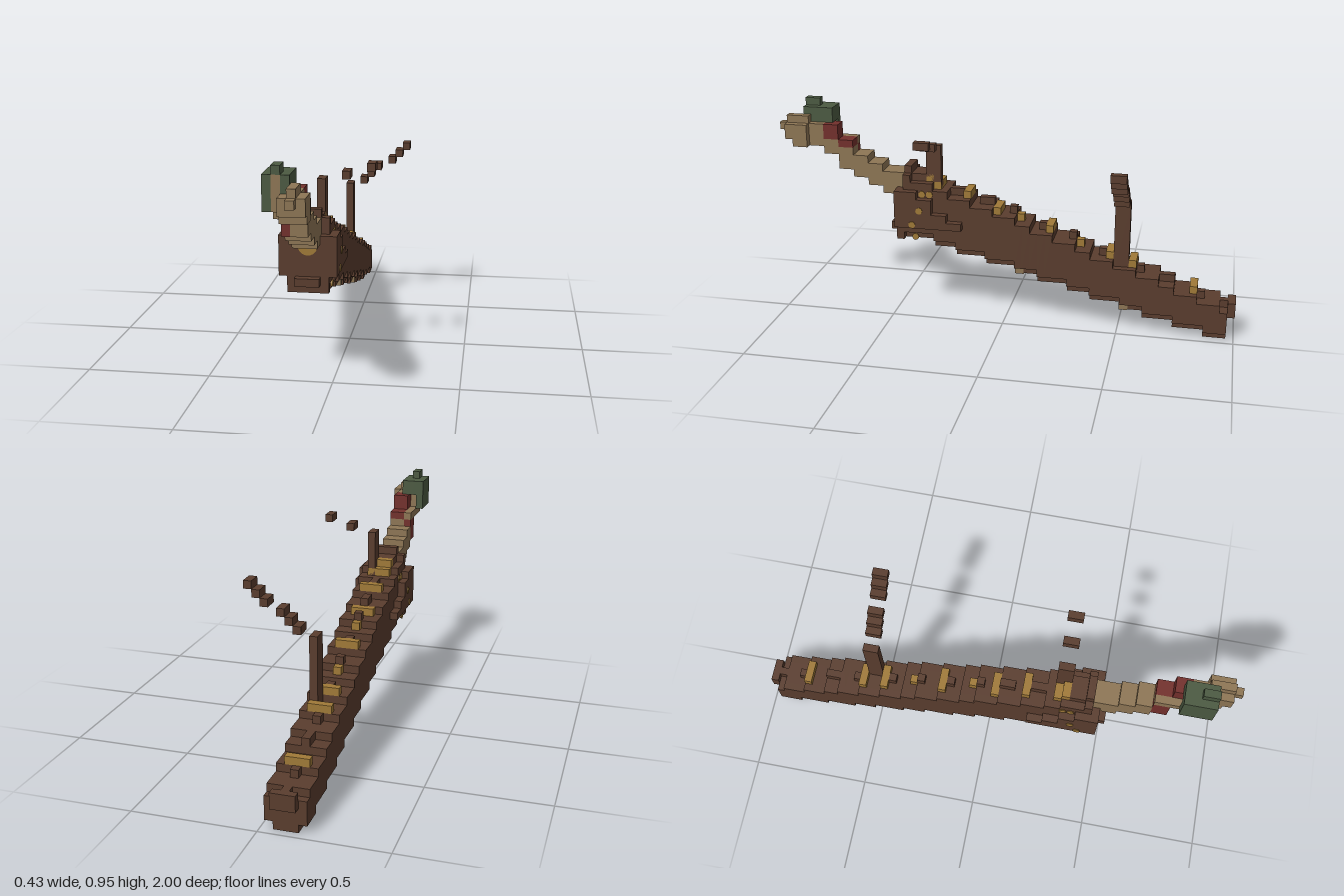
import * as THREE from 'three';
import { mergeGeometries } from 'three/addons/utils/BufferGeometryUtils.js';

const V = 2 / 61;          // edge of one block
const X0 = -6.5 * V;       // left edge of the block grid

const paint = (name, hex) => {
  const m = new THREE.MeshStandardMaterial({ color: hex });
  m.name = name;
  return m;
};

// box over inclusive block ranges; grow pushes it slightly outwards
function block([i0, i1, j0, j1, k0, k1], grow = 0) {
  const w = (i1 - i0 + 1) * V, h = (j1 - j0 + 1) * V, d = (k1 - k0 + 1) * V;
  const g = new THREE.BoxGeometry(w + grow, h + grow, d + grow);
  return g.translate(X0 + i0 * V + w / 2, j0 * V + h / 2, -1 + k0 * V + d / 2);
}

// stepped slope of the hull: top (exclusive) and bottom rows at depth k
const topRow = (k) => Math.floor(5.3 + 0.37 * k);
const bottomRow = (k) => Math.max(0, Math.floor(0.28 * k - 0.1));

export function createModel() {
  const group = new THREE.Group();
  const brown = paint('dark wood', 0x5a3d2e);
  const tan = paint('pale wood', 0x8e7655);
  const green = paint('moss green', 0x4c5a42);
  const red = paint('dark red', 0x73302c);
  const gold = paint('old gold', 0xa07a38);

  const add = (name, mat, boxes, grow = 0) => {
    const mesh = new THREE.Mesh(mergeGeometries(boxes.map((b) => block(b, grow))), mat);
    mesh.name = name;
    group.add(mesh);
  };

  // gold bands and studs along the top: depth rows
  const bands = [5, 13, 16, 24, 31, 35, 39, 40];
  const studs = [20, 28];

  // sloping body, five wide with a narrower keel, and bumps on the ridge
  const body = [[2, 4, 3, 4, 0, 0], [2, 4, 12, 12, 45, 45], [1, 5, 11, 17, 44, 44]];
  const ridge = [];
  for (let k = 1; k <= 43; k++) {
    const t = topRow(k), b = bottomRow(k);
    body.push([2, 4, b, t - 2, k, k], [1, 1, b + 1, t - 2, k, k], [5, 5, b + 1, t - 2, k, k]);
    if (bands.includes(k) || studs.includes(k)) continue;
    if (k > 40) ridge.push([2, 4, t - 1, t - 1, k, k]);
    else if (k % 4 < 2) ridge.push([3, 3, t - 1, t - 1, k, k]);
  }
  add('body', brown, body);
  add('ridge', brown, ridge);
  add('topBands', gold, bands.map((k) => [2, 4, topRow(k) - 1, topRow(k) - 1, k, k]));
  add('topStuds', gold, studs.map((k) => [3, 3, topRow(k) - 1, topRow(k) - 1, k, k]));

  // pale inlays under the body, on the front step of each row
  const inlays = [[2, 3, 3], [3, 2, 4], [5, 3, 3], [6, 3, 3], [7, 2, 4], [9, 3, 3], [10, 3, 3]];
  add('undersideInlays', tan, inlays.map(([j, a, b]) => {
    let k = 1;
    while (bottomRow(k + 1) <= j) k++;
    return [a, b, j, j, k, k];
  }), 0.006);

  // tapered cheek panels at the front, both sides
  const cheeks = [];
  for (const i of [0, 6]) {
    cheeks.push([i, i, 13, 17, 42, 44], [i, i, 13, 16, 40, 41],
      [i, i, 13, 14, 38, 39], [i, i, 13, 13, 36, 37]);
  }
  add('cheekPanels', brown, cheeks);

  // round gold studs on both sides: height, depth, outer block face
  const pins = [[11.5, 42.4, 2.5], [13.5, 42.6, 3.5], [15.5, 41.6, 3.5], [17.5, 40.4, 2.5], [17.5, 41.4, 2.5]];
  for (const [j, k, half] of pins) {
    for (const s of [-1, 1]) {
      const pin = new THREE.Mesh(new THREE.CylinderGeometry(0.015, 0.015, 0.008, 12), gold);
      pin.rotation.z = Math.PI / 2;
      pin.position.set(X0 + (3.5 + s * half) * V, j * V, -1 + k * V);
      pin.name = 'sideStud';
      group.add(pin);
    }
  }

  // gold collar below the neck
  const collar = new THREE.Mesh(new THREE.CylinderGeometry(0.038, 0.038, 0.008, 20), gold);
  collar.rotation.x = Math.PI / 2;
  collar.position.set(X0 + 3.5 * V, 0.55, -1 + 45 * V);
  collar.name = 'collar';
  group.add(collar);

  // neck and head reaching forward
  add('neck', tan, [
    [2, 4, 18, 19, 44, 44], [2, 4, 17, 19, 45, 46], [2, 4, 18, 20, 47, 48],
    [2, 4, 19, 21, 49, 50], [3, 4, 20, 22, 51, 52], [2, 2, 23, 23, 51, 54],
    [3, 4, 22, 23, 53, 54],
  ]);
  add('head', tan, [
    [2, 4, 23, 25, 55, 56], [2, 2, 24, 27, 57, 57], [3, 5, 23, 25, 57, 58],
    [4, 4, 26, 26, 57, 58], [3, 5, 24, 25, 59, 59], [4, 4, 26, 26, 59, 59],
    [4, 4, 25, 25, 60, 60],
  ]);
  add('redWrap', red, [
    [2, 2, 20, 22, 51, 52], [3, 4, 23, 23, 51, 52], [3, 4, 24, 25, 53, 54],
  ]);
  add('greenTuft', green, [
    [1, 1, 24, 27, 54, 57], [2, 2, 26, 27, 54, 56],
    [3, 3, 26, 27, 54, 57], [2, 2, 28, 28, 56, 57],
  ]);

  // two upright posts with loose blocks rising from them
  add('frontPost', brown, [[4, 4, 18, 23, 39, 40]]);
  add('rearPost', brown, [[4, 4, 8, 17, 14, 15]]);
  add('frontPostBlocks', brown, [[7, 24], [10, 25]].map(([i, j]) => [i, i, j, j, 39, 40]));
  add('rearPostBlocks', brown,
    [[6, 18], [7, 19], [8, 20], [10, 21], [11, 22], [12, 23]].map(([i, j]) => [i, i, j, j, 14, 15]));

  return group;
}
